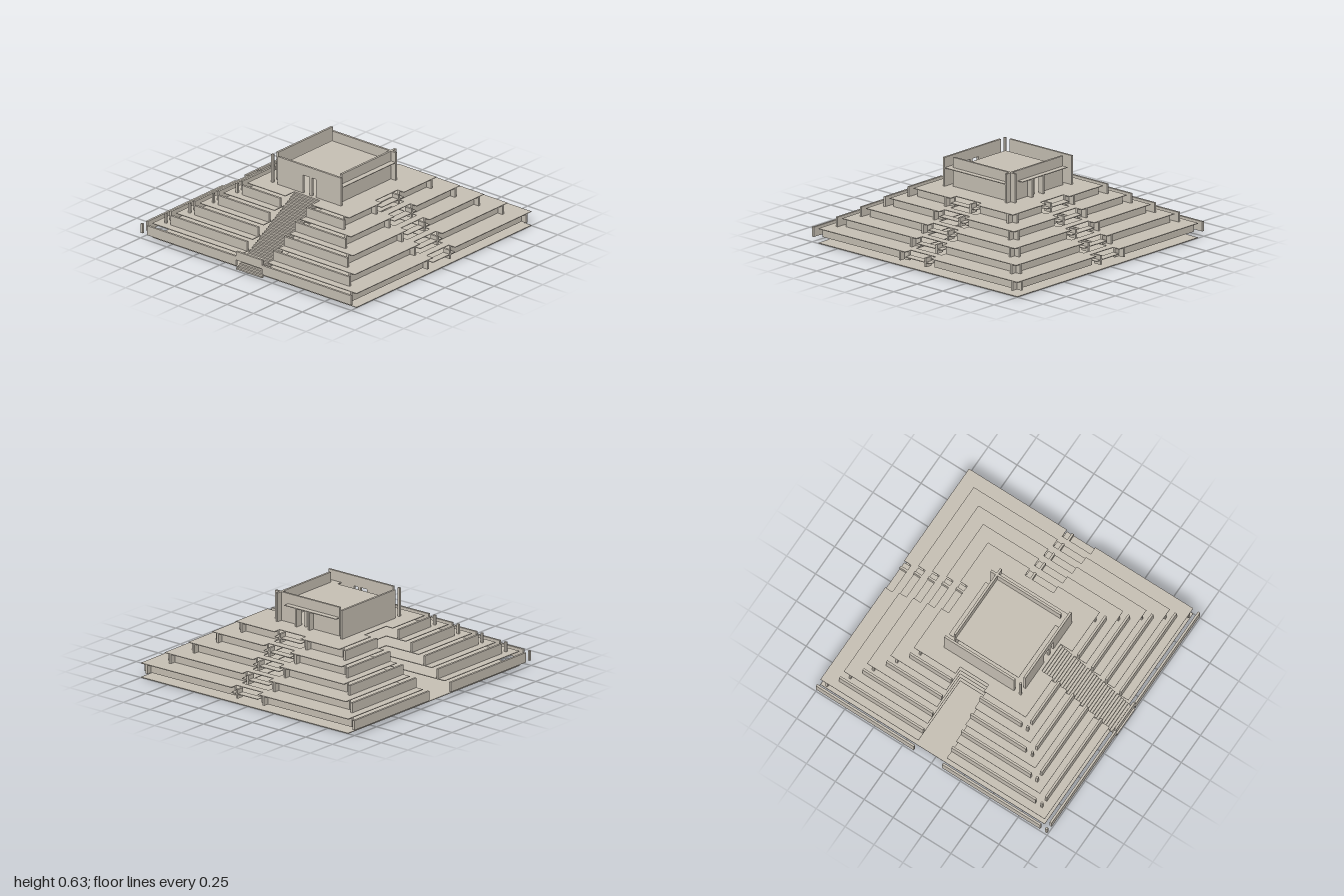
import * as THREE from 'three';

export function createModel() {
  const model = new THREE.Group();
  const stone = new THREE.MeshStandardMaterial({ color: 0xc9c2b6, flatShading: true });

  function box(name, parent, [x0, x1], [y0, y1], [z0, z1]) {
    const mesh = new THREE.Mesh(new THREE.BoxGeometry(x1 - x0, y1 - y0, z1 - z0), stone);
    mesh.position.set((x0 + x1) / 2, (y0 + y1) / 2, (z0 + z1) / 2);
    mesh.name = name;
    parent.add(mesh);
    return mesh;
  }
  // A box given along/across a side: axis 'x' runs along x, axis 'z' along z
  function sideBox(name, parent, axis, along, y, across) {
    return axis === 'x' ? box(name, parent, along, y, across) : box(name, parent, across, y, along);
  }

  const BASE = 0.04, RISE = 0.0737, RUN = 0.1215, T = 0.017, THIN = 0.005;
  const GAP = [-0.093, 0.153];          // stair opening on each side
  const CORE = 0.393;                   // inner end of the openings
  const TOP = BASE + 5 * RISE;

  // Thin terrace floor with a stair slot cut into all four sides
  function terraceFloor(parent, lo, hi, y) {
    const [a, b] = GAP;
    const pts = [
      [lo, lo], [a, lo], [a, -CORE], [b, -CORE], [b, lo], [hi, lo],
      [hi, a], [CORE, a], [CORE, b], [hi, b], [hi, hi],
      [b, hi], [b, CORE], [a, CORE], [a, hi], [lo, hi],
      [lo, b], [-0.335, b], [-0.335, a], [lo, a],
    ];
    const shape = new THREE.Shape(pts.map(([x, z]) => new THREE.Vector2(x, -z)));
    const geo = new THREE.ExtrudeGeometry(shape, { depth: THIN, bevelEnabled: false });
    geo.rotateX(-Math.PI / 2);
    geo.translate(0, y - THIN, 0);
    const floor = new THREE.Mesh(geo, stone);
    floor.name = 'terraceFloor';
    parent.add(floor);
  }

  // Ground slab
  box('groundSlab', model, [-0.94, 1], [0, THIN], [-0.94, 1]);

  // Five stepped terraces
  for (let i = 0; i < 5; i++) {
    const tier = new THREE.Group();
    tier.name = 'terrace';
    model.add(tier);
    const lo = -0.94 + i * RUN, hi = 1 - i * RUN;
    const y = [BASE + i * RISE, BASE + (i + 1) * RISE];
    const wallY = [y[0], y[1] - THIN];
    terraceFloor(tier, lo, hi, y[1]);

    for (const axis of ['x', 'z']) {
      // Retaining walls on the far and near sides, split by the stair opening
      for (const [c, wy] of [[-hi, y], [-lo, wallY]]) {
        sideBox('terraceWall', tier, axis, [lo, GAP[0]], wy, [c, c + T]);
        sideBox('terraceWall', tier, axis, [GAP[1], hi], wy, [c, c + T]);
      }
      // Short cheek walls beside the front and right stairs
      for (const s of [-0.155, 0.093]) {
        sideBox('stairCheek', tier, axis, [s, s + T], wallY, [-lo, hi]);
      }
    }
    box('cornerPost', tier, [-hi, -hi + T], y, [-hi, -hi + T]);
  }

  // Open treads of the front and right stairs
  const stairs = new THREE.Group();
  stairs.name = 'openStairs';
  model.add(stairs);
  for (let k = 0; k < 10; k++) {
    const y = BASE + (k + 1) * RISE / 2, out = 1 - k * RUN / 2;
    for (const axis of ['x', 'z']) {
      sideBox('tread', stairs, axis, GAP, [y - THIN, y], [out - RUN / 2, out]);
    }
  }

  // Long fine stair climbing the left flank
  const longStair = new THREE.Group();
  longStair.name = 'longStair';
  model.add(longStair);
  const N = 34, w = 0.665 / N, h = (TOP - 0.012) / N;
  for (let k = 0; k < N; k++) {
    box('step', longStair, [-1 + k * w, -1 + (k + 1) * w], [0.012 + k * h, 0.012 + (k + 1) * h], GAP);
  }
  box('stairGate', longStair, [-1, -1 + T], [0.085, 0.153], GAP);

  // Temple on the summit
  const temple = new THREE.Group();
  temple.name = 'temple';
  model.add(temple);
  const Y = [TOP, 0.627], LINTEL = 0.55, lo = -0.272, hi = 0.332;
  box('backWall', temple, [lo, hi], Y, [-hi, -hi + T]);
  box('frontWall', temple, [lo, hi], Y, [-lo, -lo + T]);
  box('cornerPost', temple, [-hi, -hi + T], Y, [-hi, -hi + T]);
  // Side walls with a doorway and its posts
  for (const x of [-hi, -lo]) {
    const X = [x, x + T];
    box('sideWall', temple, X, [TOP, LINTEL], [lo, -0.028]);
    box('sideWall', temple, X, [TOP, LINTEL], [0.093, hi]);
    box('doorLintel', temple, X, [LINTEL, Y[1]], [lo, hi]);
    box('doorPost', temple, X, [TOP, LINTEL], [0.033, 0.055]);
  }
  for (const z of [-0.028, 0.093]) {
    box('doorCheek', temple, [-lo + T, hi], [TOP, LINTEL], [z, z + T]);
  }
  // Sunken roof and its two canopies
  box('roof', temple, [lo, -lo], [LINTEL - THIN, LINTEL], [lo, -lo]);
  box('frontCanopy', temple, [-0.318, -lo], [LINTEL - THIN, LINTEL], [0.21, hi]);
  box('rightCanopy', temple, [-lo, hi], [LINTEL - THIN, LINTEL], [lo, 0.21]);

  return model;
}
